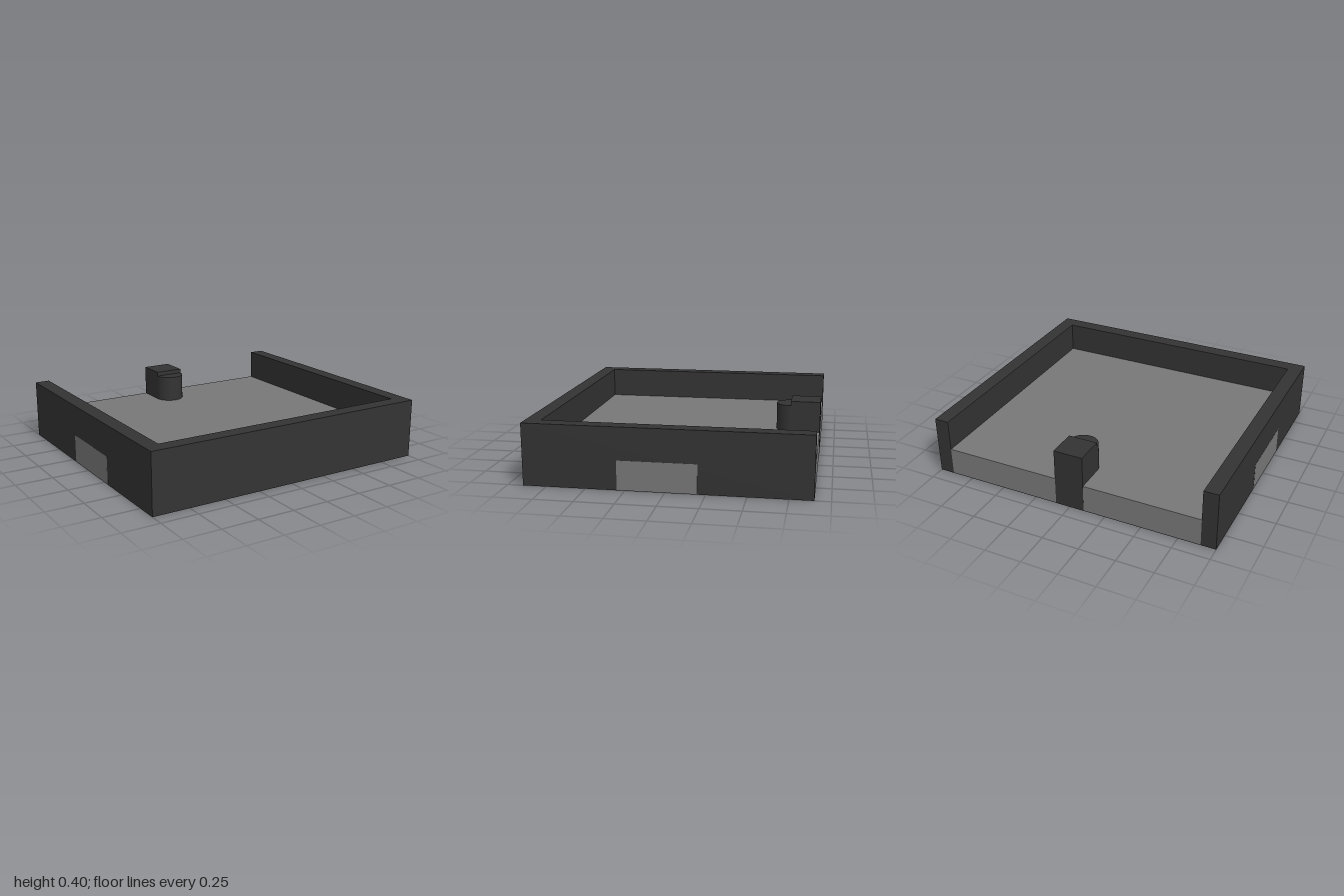
import * as THREE from 'three';

export function createModel() {
  const model = new THREE.Group();
  const dark = new THREE.MeshStandardMaterial({ color: 0x333333 });
  const grey = new THREE.MeshStandardMaterial({ color: 0x777777 });

  const add = (name, geometry, material, x = 0, y = 0, z = 0) => {
    const mesh = new THREE.Mesh(geometry, material);
    mesh.name = name;
    mesh.position.set(x, y, z);
    model.add(mesh);
    return mesh;
  };
  // Box given by its lower and upper corners
  const box = (name, material, [x0, y0, z0], [x1, y1, z1]) =>
    add(name, new THREE.BoxGeometry(x1 - x0, y1 - y0, z1 - z0), material,
      (x0 + x1) / 2, (y0 + y1) / 2, (z0 + z1) / 2);

  // U-shaped wall, open at the back (shape y becomes -z)
  const plan = [[-1, -0.9], [1, -0.9], [1, 0.9], [0.9, 0.9],
    [0.9, -0.8], [-0.9, -0.8], [-0.9, 0.9], [-1, 0.9]];
  const outline = new THREE.Shape(plan.map(([x, y]) => new THREE.Vector2(x, y)));
  const wall = new THREE.ExtrudeGeometry(outline, { depth: 0.4, bevelEnabled: false });
  wall.rotateX(-Math.PI / 2);
  add('wall', wall, dark);

  // Floor slab on a thin dark underside
  box('underside', dark, [-0.9, 0, -0.9], [0.9, 0.004, 0.8]);
  box('floor', grey, [-0.9, 0.004, -0.9], [0.9, 0.19, 0.8]);

  // Grey panels set flush into both side walls
  for (const side of [-1, 1]) {
    const panel = box('sidePanel', grey, [-0.02, 0.002, -0.2], [0.02, 0.19, 0.3]);
    panel.position.x = side * 0.981;
  }

  // Post at the back edge with a slightly lower rounded nose
  box('post', dark, [-0.1, 0, -0.901], [0.1, 0.4, -0.7]);
  add('postNose', new THREE.CylinderGeometry(0.1, 0.1, 0.36, 48), dark, 0, 0.19, -0.7);

  return model;
}
